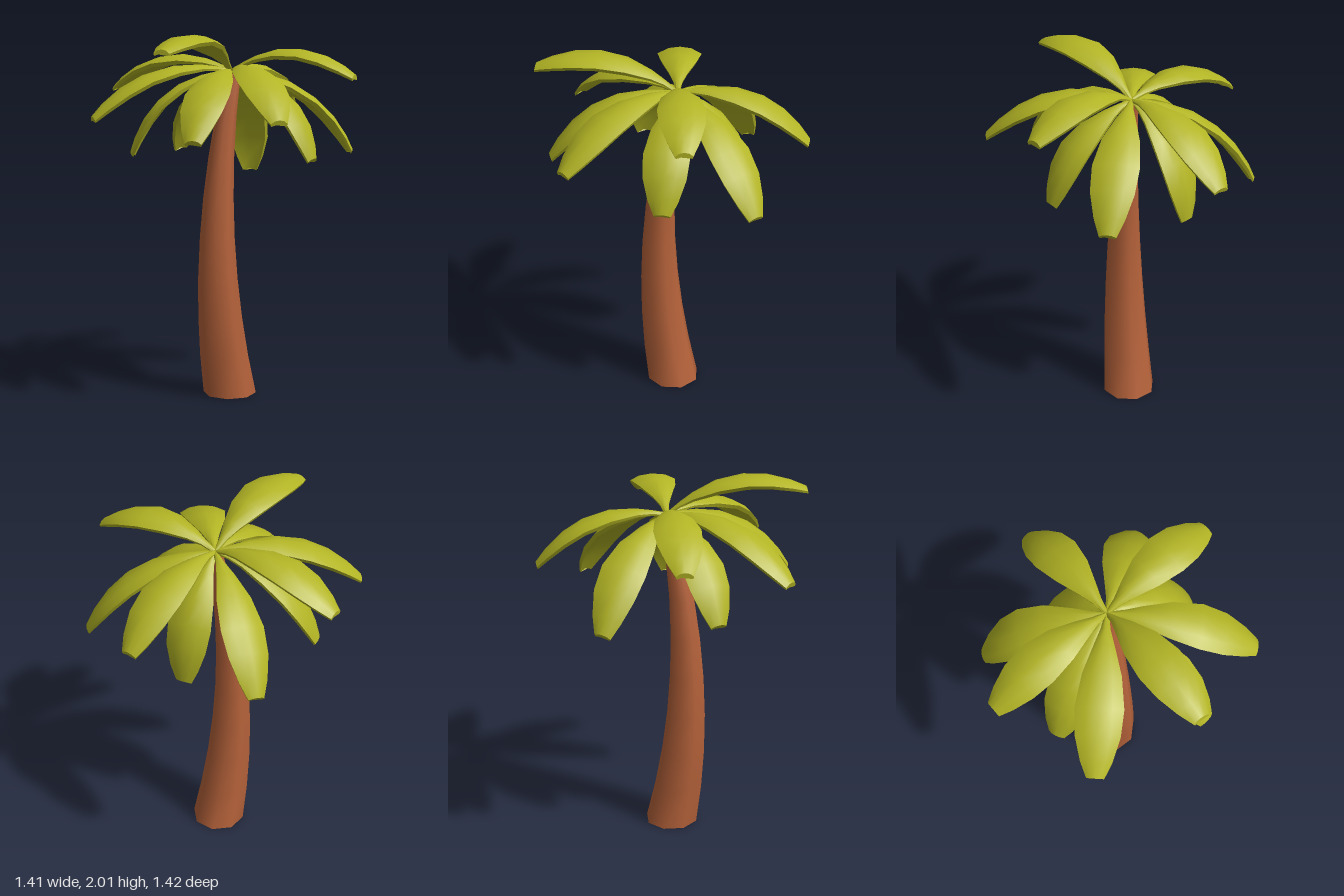
import * as THREE from 'three';
import { toCreasedNormals } from 'three/addons/utils/BufferGeometryUtils.js';

const CROWN = new THREE.Vector3(-0.025, 1.81, -0.05);

// frond outline: [position along the chord, half width]
const OUTLINE = [[0, 0.01], [0.1, 0.025], [0.2, 0.052], [0.38, 0.098], [0.58, 0.122], [0.75, 0.113], [0.9, 0.08], [1, 0.045]];
// crescent cross-section: [share of half width, height], top from one edge to the other, then underside
const SECTION = [[-1, -0.016], [-0.55, 0.01], [0, 0.018], [0.55, 0.01], [1, -0.016], [0.9, -0.036], [0, -0.014], [-0.9, -0.036]];

// frond tips: x, y, z and sideways bank
const FRONDS = [
  [-0.28, 1.55, -0.70, 0], [0.30, 1.36, -0.65, 0], [0.59, 1.79, -0.38, 0], [0.69, 1.59, 0.245, 0],
  [0.25, 1.935, 0.64, 0], [-0.29, 1.57, 0.69, 0], [-0.69, 1.70, 0.25, 0], [-0.67, 1.33, -0.19, -0.22],
  [0.47, 1.35, -0.2, 0], [0.345, 1.48, 0.52, 0], [-0.41, 1.35, 0.35, 0], [-0.235, 1.23, -0.37, 0],
];

// lofted, arched frond from the crown to its tip
function frondGeometry(tip, bank) {
  const chord = tip.clone().sub(CROWN);
  const dir = chord.clone().normalize();
  const side = new THREE.Vector3(0, 1, 0).cross(dir).normalize();
  const up = dir.clone().cross(side);
  const bankedSide = side.clone().applyAxisAngle(dir, bank);
  const bankedUp = up.clone().applyAxisAngle(dir, bank);
  const positions = [], index = [], m = SECTION.length;
  OUTLINE.forEach(([t, w], i) => {
    const centre = CROWN.clone().addScaledVector(chord, t).addScaledVector(up, 0.46 * t * (1 - t));
    const thick = 0.3 + 0.7 * Math.min(1, w / 0.1);
    SECTION.forEach(([s, h], j) => {
      const p = centre.clone().addScaledVector(bankedSide, s * w).addScaledVector(bankedUp, h * thick);
      positions.push(p.x, p.y, p.z);
      if (i === OUTLINE.length - 1) return;
      const a = i * m + j, b = i * m + (j + 1) % m;
      index.push(a, a + m, b, b, a + m, b + m);
    });
  });
  // end caps
  const last = (OUTLINE.length - 1) * m;
  for (let k = 1; k < m - 1; k++) {
    index.push(last, last + k + 1, last + k);
    index.push(0, k, k + 1);
  }
  const g = new THREE.BufferGeometry();
  g.setAttribute('position', new THREE.Float32BufferAttribute(positions, 3));
  g.setIndex(index);
  return toCreasedNormals(g, 0.8);
}

// tapered trunk bowed towards the front
function trunkGeometry() {
  const height = 1.79;
  const g = new THREE.CylinderGeometry(0.045, 0.148, height, 8, 8);
  g.translate(-0.018, height / 2, 0);
  const p = g.attributes.position;
  for (let i = 0; i < p.count; i++) {
    p.setZ(i, p.getZ(i) + 0.06 - 0.124 * (p.getY(i) - 0.85) ** 2);
  }
  return toCreasedNormals(g, 0.95);
}

export function createModel() {
  const bark = new THREE.MeshStandardMaterial({ color: 0xb5623a });
  bark.name = 'bark';
  const leaf = new THREE.MeshStandardMaterial({ color: 0xb2b424 });
  leaf.name = 'leaf';

  const model = new THREE.Group();
  model.name = 'palmTree';

  const trunk = new THREE.Mesh(trunkGeometry(), bark);
  trunk.name = 'trunk';
  model.add(trunk);

  const crown = new THREE.Group();
  crown.name = 'crown';
  FRONDS.forEach(([x, y, z, bank], i) => {
    const frond = new THREE.Mesh(frondGeometry(new THREE.Vector3(x, y, z), bank), leaf);
    frond.name = `frond${i + 1}`;
    crown.add(frond);
  });
  model.add(crown);
  return model;
}
